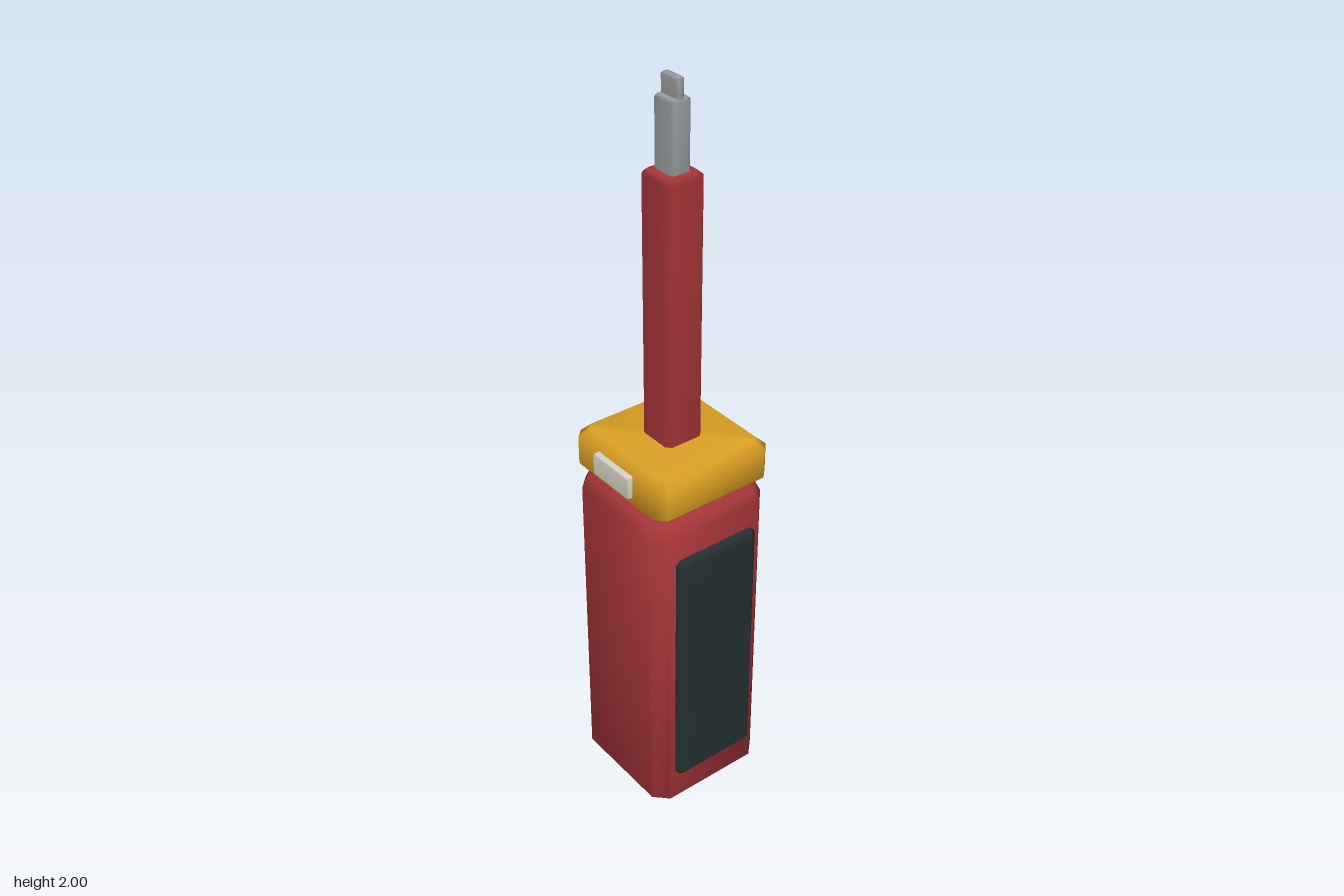
import * as THREE from 'three';
import { toCreasedNormals } from 'three/addons/utils/BufferGeometryUtils.js';

const flat = (name, color) => {
  const m = new THREE.MeshStandardMaterial({ color });
  m.name = name;
  return m;
};

// Lofts chamfered rectangles [y, halfX, halfZ, chamfer] upward and caps both ends.
function loft(rings) {
  const pos = [], index = [], n = 8;
  for (const [y, a, b, c] of rings) {
    const corners = [[a, c - b], [a, b - c], [a - c, b], [c - a, b], [-a, b - c], [-a, c - b], [c - a, -b], [a - c, -b]];
    for (const [x, z] of corners) pos.push(x, y, z);
  }
  const last = rings.length - 1;
  pos.push(0, rings[0][0], 0, 0, rings[last][0], 0);
  const bottom = n * rings.length, top = bottom + 1;
  for (let j = 0; j < n; j++) {
    const k = (j + 1) % n;
    for (let i = 0; i < last; i++) {
      const a = i * n + j, b = i * n + k;
      index.push(a, a + n, b, b, a + n, b + n);
    }
    index.push(bottom, j, k, top, last * n + k, last * n + j);
  }
  const g = new THREE.BufferGeometry();
  g.setAttribute('position', new THREE.Float32BufferAttribute(pos, 3));
  g.setIndex(index);
  g.computeVertexNormals();
  return g;
}

// Box standing from y0 to y1 with all its edges bevelled.
const bevelBox = (y0, y1, hx, hz, c, e = c) => loft([
  [y0, hx - e, hz - e, c * 0.6], [y0 + e, hx, hz, c],
  [y1 - e, hx, hz, c], [y1, hx - e, hz - e, c * 0.6],
]);

export function createModel() {
  const model = new THREE.Group();
  const red = flat('red', 0xa63538);
  const yellow = flat('yellow', 0xdca024);
  const dark = flat('dark rubber', 0x243032);
  const metal = flat('steel', 0x989c9e);
  const pale = flat('pale plate', 0xd8d4c8);

  const add = (name, geometry, material, x = 0, y = 0, z = 0) => {
    const mesh = new THREE.Mesh(geometry, material);
    mesh.name = name;
    mesh.position.set(x, y, z);
    model.add(mesh);
    return mesh;
  };

  // Handle with a tapering, slightly tilted ridge at the butt
  const handle = loft([
    [0.007, 0.1, 0.016, 0.006], [0.033, 0.125, 0.12, 0.04],
    [0.09, 0.172, 0.17, 0.035], [0.945, 0.172, 0.17, 0.035],
    [0.975, 0.16, 0.157, 0.03], [0.992, 0.135, 0.135, 0.025],
  ]);
  const p = handle.attributes.position;
  for (let i = 0; i < p.count; i++) {
    if (p.getY(i) < 0.03) p.setY(i, p.getY(i) - 0.07 * p.getX(i));
  }
  add('handle', toCreasedNormals(handle, 0.95), red, -0.002, 0, -0.005);

  // Rubber grips on both sides
  for (const side of [-1, 1]) {
    const grip = loft([
      [0.14, 0.355, 0.12, 0.012], [0.172, 0.355, 0.12, 0.012],
      [0.18, 0.35, 0.117, 0.012], [0.19, 0.338, 0.106, 0.008],
    ]);
    const mesh = add(side > 0 ? 'leftGrip' : 'rightGrip', grip, dark, 0, 0.525, -0.006);
    mesh.rotation.z = -side * Math.PI / 2;
  }

  // Collar and its front plate
  add('collar', bevelBox(0.988, 1.112, 0.173, 0.17, 0.025), yellow, -0.002, 0, -0.007);
  add('collarPlate', bevelBox(1.03, 1.09, 0.07, 0.012, 0.004), pale, -0.002, 0, 0.165);

  // Insulated shaft, steel shank and flat blade
  add('shaft', bevelBox(1.08, 1.788, 0.053, 0.053, 0.012), red, 0, 0, -0.007);
  add('shank', bevelBox(1.77, 1.955, 0.034, 0.027, 0.007), metal, -0.001, 0, -0.007);
  add('blade', bevelBox(1.94, 2, 0.03, 0.011, 0.005), metal, -0.001, 0, -0.007);

  return model;
}
